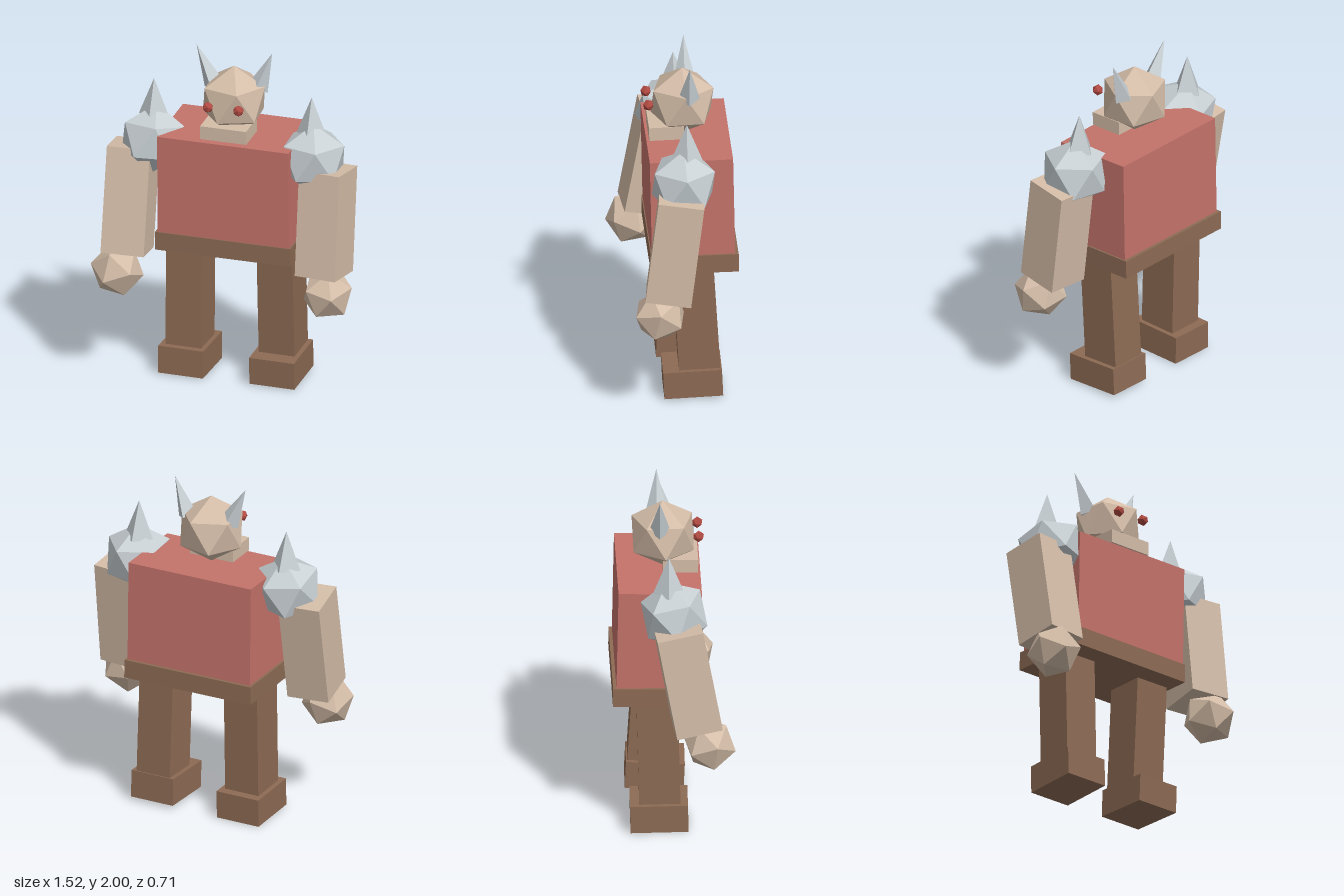
import * as THREE from 'three';

const mat = (name, color) => {
  const m = new THREE.MeshStandardMaterial({ color, flatShading: true });
  m.name = name;
  return m;
};

export function createModel() {
  const root = new THREE.Group();
  root.name = 'hornedBrute';
  const tan = mat('tan skin', 0xd4bda8);
  const red = mat('red tunic', 0xc4736a);
  const brown = mat('brown leather', 0x8d6b54);
  const steel = mat('pale steel', 0xc8d0d4);
  const eyeRed = mat('eye red', 0xb04a42);

  const add = (name, geometry, material, pos, rot = [0, 0, 0]) => {
    const m = new THREE.Mesh(geometry, material);
    m.name = name;
    m.position.set(...pos);
    m.rotation.set(...rot);
    root.add(m);
    return m;
  };
  const box = (name, size, material, pos, rot) =>
    add(name, new THREE.BoxGeometry(...size), material, pos, rot);

  // Icosahedron turned so that two neighbouring corners point along a and b
  const ico = (name, r, material, pos, a, b) => {
    const m = add(name, new THREE.IcosahedronGeometry(r, 0), material, pos);
    const va = new THREE.Vector3(...a).normalize();
    const vb = new THREE.Vector3(...b).normalize();
    const up = va.clone().add(vb).normalize();
    const side = vb.clone().sub(va).normalize();
    const out = side.clone().cross(up);
    m.quaternion.setFromRotationMatrix(new THREE.Matrix4().makeBasis(side, up, out));
    return m;
  };

  // Four-sided spike from a base centre to a tip
  const spike = (name, r, base, tip) => {
    const p = new THREE.Vector3(...base);
    const axis = new THREE.Vector3(...tip).sub(p);
    const m = add(name, new THREE.ConeGeometry(r, axis.length(), 4), steel, base);
    m.position.addScaledVector(axis, 0.5);
    m.quaternion.setFromUnitVectors(new THREE.Vector3(0, 1, 0), axis.normalize());
  };

  // Torso and belt
  box('torso', [0.785, 0.61, 0.475], red, [-0.003, 1.2, -0.09], [0.02, 0.017, 0]);
  box('belt', [0.81, 0.11, 0.5], brown, [-0.005, 0.855, -0.103], [0.01, 0.017, 0]);

  // Legs and feet, in a slight stride
  box('rightLeg', [0.215, 0.66, 0.235], brown, [-0.276, 0.49, -0.087], [-0.025, 0, 0]);
  box('leftLeg', [0.215, 0.66, 0.235], brown, [0.265, 0.49, -0.12], [0.06, 0, 0]);
  box('rightFoot', [0.27, 0.165, 0.33], brown, [-0.277, 0.085, -0.083], [-0.02, 0, 0]);
  box('leftFoot', [0.27, 0.163, 0.335], brown, [0.266, 0.094, -0.1], [0.045, 0, 0]);

  // Arms swinging forward, with faceted fists
  box('rightArm', [0.252, 0.625, 0.265], tan, [-0.582, 1.068, 0.075], [-0.18, 0.11, 0]);
  box('leftArm', [0.248, 0.625, 0.262], tan, [0.573, 1.055, 0.01], [-0.12, -0.08, 0]);
  ico('rightFist', 0.155, tan, [-0.617, 0.665, 0.2], [-0.036, -0.03, 0.148], [0.112, 0.022, 0.104]);
  ico('leftFist', 0.155, tan, [0.615, 0.648, 0.1], [0.07, 0.015, 0.137], [-0.105, 0.05, 0.126]);

  // Shoulder guards with spikes
  ico('rightShoulder', 0.203, steel, [-0.467, 1.415, 0], [0.184, 0.085, -0.02], [0.053, 0.05, -0.195]);
  ico('leftShoulder', 0.203, steel, [0.48, 1.415, -0.04], [0.175, 0.085, -0.01], [0.045, 0.095, -0.195]);
  spike('rightShoulderSpike', 0.09, [-0.475, 1.55, -0.03], [-0.475, 1.775, -0.03]);
  spike('leftShoulderSpike', 0.09, [0.463, 1.55, -0.06], [0.463, 1.775, -0.06]);

  // Head, jaw, eyes and horns
  ico('head', 0.203, tan, [-0.003, 1.704, -0.057], [0, 1, 0], [0.2, 0.447, -0.87]);
  box('jaw', [0.275, 0.08, 0.2], tan, [-0.003, 1.557, 0.04], [0.02, 0.02, 0]);
  for (const [side, s] of [['right', -1], ['left', 1]]) {
    add(side + 'Eye', new THREE.IcosahedronGeometry(0.033, 0), eyeRed,
      [s * 0.091, 1.72, 0.143 - s * 0.003], [0.2, 0.3, 0]);
    spike(side + 'Horn', 0.062, [s * 0.13, 1.775, -0.083 - s * 0.007],
      [s * 0.225 - 0.01, 2, -0.083 - s * 0.007]);
  }
  return root;
}
